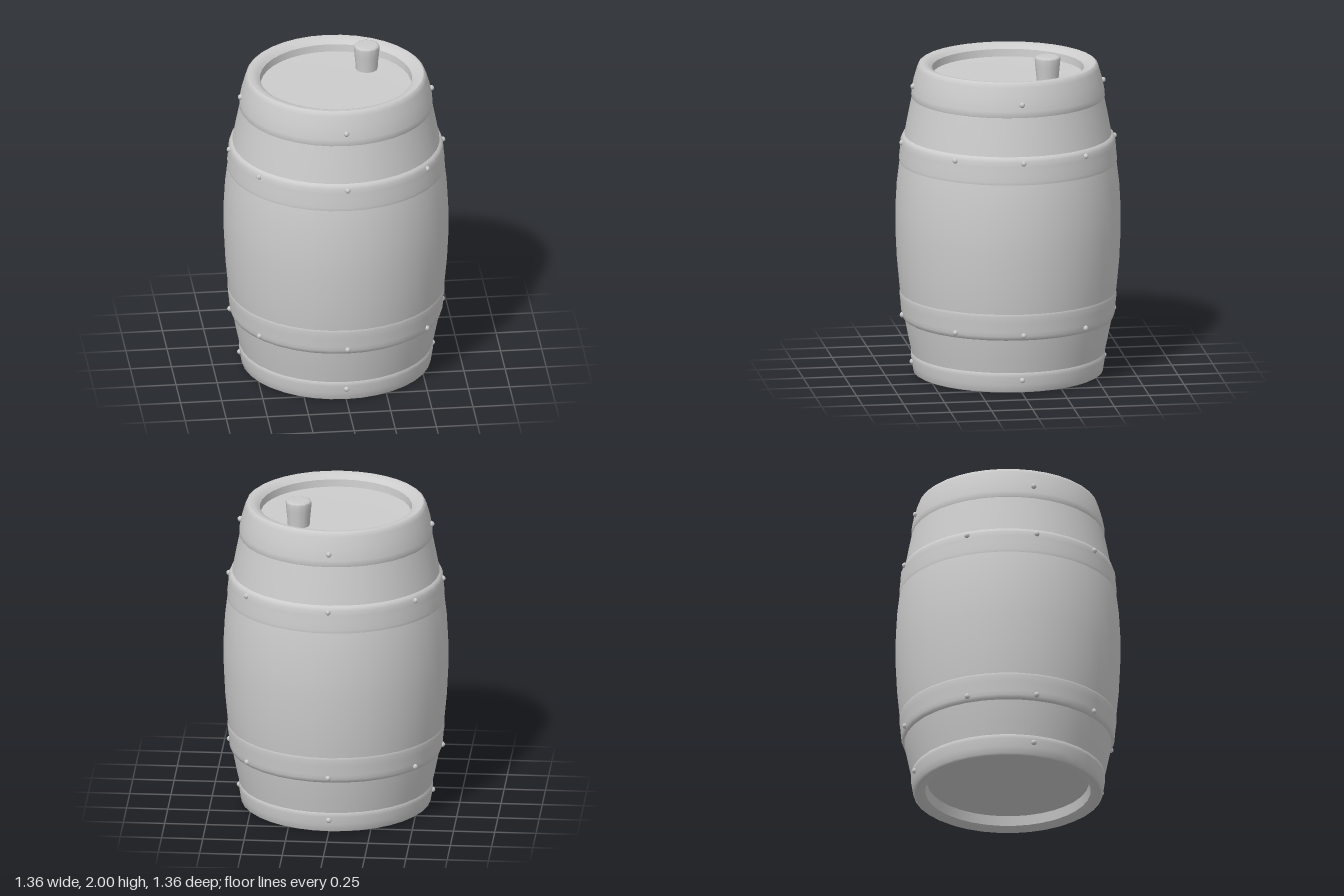
import * as THREE from 'three';

export function createModel() {
  const barrel = new THREE.Group();
  barrel.name = 'barrel';
  const grey = new THREE.MeshStandardMaterial({ color: 0xcccccc });
  grey.name = 'plain grey';

  const add = (name, geometry, parent = barrel) => {
    const mesh = new THREE.Mesh(geometry, grey);
    mesh.name = name;
    parent.add(mesh);
    return mesh;
  };
  // Profiles run so that the surface lies to the right of the path
  const lathe = (name, points, sides = 36, parent = barrel) =>
    add(name, new THREE.LatheGeometry(points.map(([r, y]) => new THREE.Vector2(r, y)), sides), parent);

  // Bulging staves between the two end bands
  lathe('staves', [
    [0.578, 0.1], [0.6, 0.2], [0.628, 0.34], [0.655, 0.52], [0.672, 0.7], [0.681, 0.88],
    [0.681, 1.02], [0.672, 1.18], [0.655, 1.32], [0.632, 1.45], [0.604, 1.6], [0.576, 1.74],
  ]);

  // End bands, the upper one rolling over into the rim
  lathe('bottomBand', [[0.56, 0], [0.573, 0.008], [0.58, 0.05], [0.588, 0.1], [0.586, 0.125], [0.576, 0.135]]);
  lathe('topBand', [[0.575, 1.7], [0.585, 1.715], [0.584, 1.75], [0.57, 1.82], [0.55, 1.89], [0.541, 1.912], [0.53, 1.92]]);
  lathe('topRim', [[0.53, 1.92], [0.505, 1.918], [0.48, 1.908], [0.46, 1.89]]);
  lathe('topInnerWall', [[0.46, 1.89], [0.455, 1.84]]);

  // Recessed ends
  lathe('lid', [[0.457, 1.845], [0.3, 1.84], [0, 1.84]]);
  lathe('bottomRim', [[0.5, 0.02], [0.53, 0.004], [0.56, 0]]);
  lathe('bottomInnerWall', [[0.49, 0.08], [0.5, 0.02]]);
  lathe('bottomEnd', [[0, 0.08], [0.49, 0.08]]);

  // Middle hoops, each with a raised edge towards the nearer end
  lathe('upperHoop', [[0.657, 1.31], [0.659, 1.33], [0.653, 1.385], [0.651, 1.42], [0.648, 1.45], [0.64, 1.47], [0.624, 1.48]]);
  lathe('lowerHoop', [[0.622, 0.335], [0.637, 0.345], [0.644, 0.365], [0.647, 0.39], [0.652, 0.45], [0.657, 0.49], [0.653, 0.505]]);

  // Tapered stopper, wider at the top
  const stopper = lathe('stopper', [
    [0.066, 1.83], [0.069, 1.88], [0.075, 1.94], [0.079, 1.985], [0.074, 1.996], [0.06, 2], [0, 2],
  ], 12);
  stopper.position.set(0.21, 0, -0.21);

  // Rings of small round studs
  const quarter = [0, 90, 180, 270];
  const full = [...quarter, 52, 128, 232, 308];
  const rings = [
    ['topStud', 0.58, 1.79, quarter], ['upperHoopStud', 0.648, 1.442, full],
    ['lowerHoopStud', 0.645, 0.372, full], ['bottomStud', 0.585, 0.08, quarter],
  ];
  const studGeometry = new THREE.SphereGeometry(0.017, 8, 6);
  for (const [name, radius, y, angles] of rings) {
    const ring = new THREE.Group();
    ring.name = name + 's';
    for (const degrees of angles) {
      const a = THREE.MathUtils.degToRad(degrees);
      add(name, studGeometry, ring).position.set(radius * Math.sin(a), y, radius * Math.cos(a));
    }
    barrel.add(ring);
  }
  return barrel;
}
